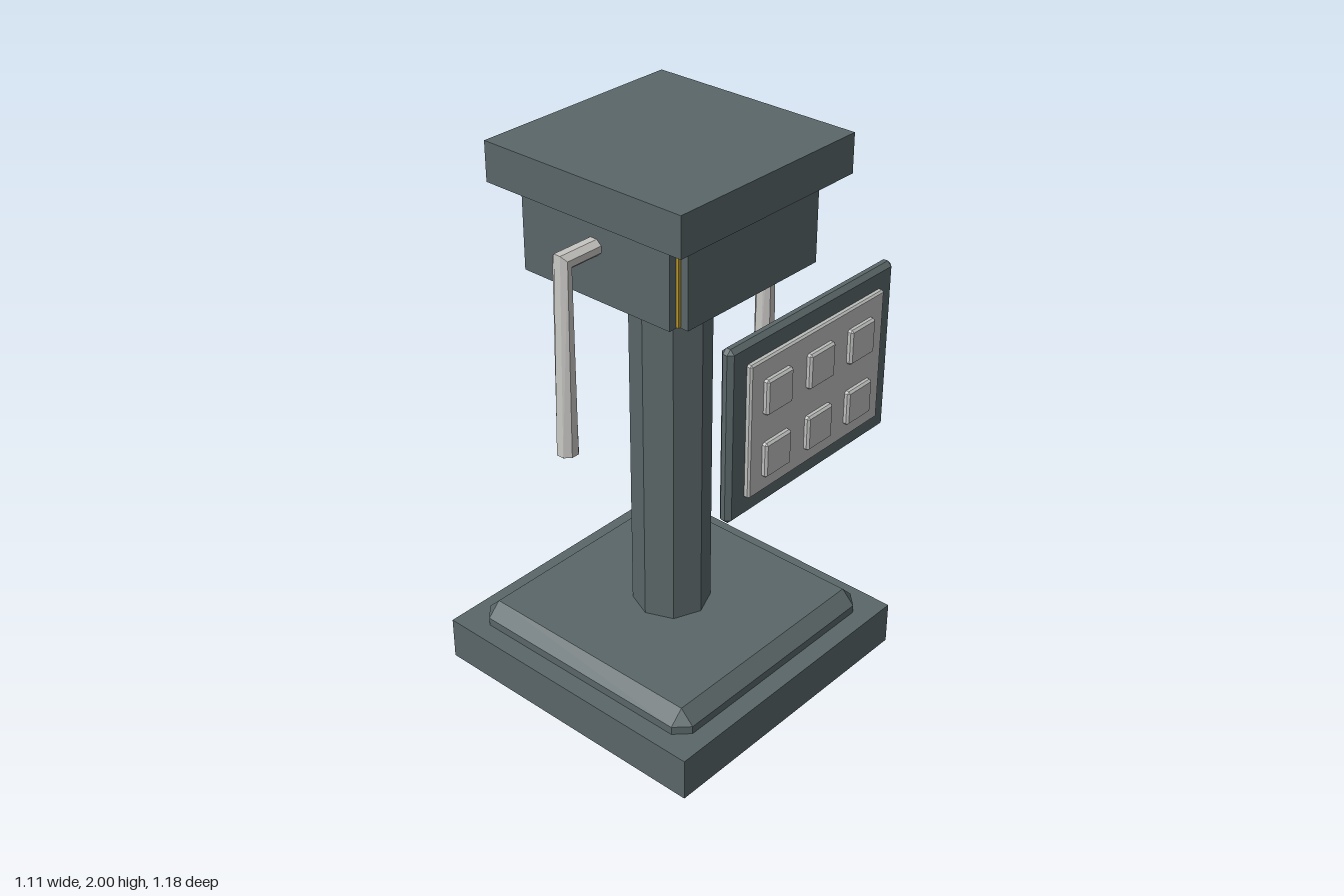
import * as THREE from 'three';
import { ConvexGeometry } from 'three/addons/geometries/ConvexGeometry.js';

const AXIS_Z = -0.036; // the pedestal's axis sits slightly behind the origin

function material(name, color) {
  const m = new THREE.MeshStandardMaterial({ color });
  m.name = name;
  return m;
}

// Non-indexed copy with one normal per face
function faceted(geometry) {
  const g = geometry.index ? geometry.toNonIndexed() : geometry;
  g.computeVertexNormals();
  return g;
}

// Box whose edges and corners are cut by a single chamfer
function chamferBox(w, h, d, b) {
  const points = [];
  for (const sx of [-1, 1]) for (const sy of [-1, 1]) for (const sz of [-1, 1]) {
    for (let axis = 0; axis < 3; axis++) {
      const inset = [b, b, b];
      inset[axis] = 0;
      points.push(new THREE.Vector3(
        sx * (w / 2 - inset[0]), sy * (h / 2 - inset[1]), sz * (d / 2 - inset[2])));
    }
  }
  return faceted(new ConvexGeometry(points));
}

// Mitred lever: a short arm going out along x, then a flared grip hanging down
function leverGeometry() {
  const sides = 8;
  const rings = [
    (s, c) => [0.33, 1.752 + 0.028 * s, 0.032 * c],
    (s, c) => [0.482 + 0.021 * s, 1.752 + 0.028 * s, 0.032 * c],
    (s, c) => [0.488 + 0.035 * s, 1.08, 0.034 * c],
  ];
  const positions = [], index = [];
  for (const ring of rings) {
    for (let i = 0; i < sides; i++) {
      const a = ((i + 0.5) / sides) * Math.PI * 2;
      const k = 1 / Math.cos(Math.PI / sides);
      positions.push(...ring(Math.sin(a) * k, Math.cos(a) * k));
    }
  }
  for (let r = 0; r < rings.length - 1; r++) {
    for (let i = 0; i < sides; i++) {
      const j = (i + 1) % sides;
      const a = r * sides + i, b = r * sides + j;
      index.push(a, a + sides, b, b, a + sides, b + sides);
    }
  }
  // end of the grip
  const e = (rings.length - 1) * sides;
  for (let i = 1; i < sides - 1; i++) index.push(e, e + i + 1, e + i);
  const g = new THREE.BufferGeometry();
  g.setAttribute('position', new THREE.Float32BufferAttribute(positions, 3));
  g.setIndex(index);
  return faceted(g);
}

export function createModel() {
  const model = new THREE.Group();
  model.name = 'controlPedestal';
  const slate = material('slate grey', 0x5a6668);
  const gold = material('dull gold', 0xb59530);
  const pale = material('pale grey', 0xbcbebc);
  const steel = material('lever steel', 0xc6c5c2);
  steel.side = THREE.DoubleSide;

  function add(parent, name, geometry, mat, x = 0, y = 0, z = 0) {
    const mesh = new THREE.Mesh(geometry, mat);
    mesh.name = name;
    mesh.position.set(x, y, z);
    parent.add(mesh);
    return mesh;
  }

  // Pedestal, built around its own vertical axis
  const pedestal = new THREE.Group();
  pedestal.name = 'pedestal';
  pedestal.position.z = AXIS_Z;
  model.add(pedestal);
  add(pedestal, 'base', new THREE.BoxGeometry(1.112, 0.16, 1.112), slate, 0, 0.08, 0);
  add(pedestal, 'basePlinth', chamferBox(0.972, 0.16, 0.972, 0.05), slate, 0, 0.16, 0);
  add(pedestal, 'column', faceted(new THREE.CylinderGeometry(0.139, 0.139, 1.36, 8)), slate, 0, 0.91, 0);

  // Head: gold core showing between four side panels
  add(pedestal, 'headCore', new THREE.BoxGeometry(0.636, 0.287, 0.636), gold, 0, 1.7165, 0);
  for (let i = 0; i < 4; i++) {
    const side = new THREE.Group();
    side.name = 'headSide';
    side.rotation.y = (i * Math.PI) / 2;
    pedestal.add(side);
    add(side, 'headPanel', new THREE.BoxGeometry(0.616, 0.292, 0.03), slate, 0, 1.716, 0.332);
  }
  add(pedestal, 'cap', new THREE.BoxGeometry(0.807, 0.138, 0.807), slate, 0, 1.931, 0);

  // Levers on both sides
  const lever = leverGeometry();
  add(pedestal, 'leftLever', lever, steel);
  add(pedestal, 'rightLever', lever, steel).rotation.y = Math.PI;

  // Floating button board in front
  const board = new THREE.Group();
  board.name = 'buttonBoard';
  model.add(board);
  add(board, 'boardBack', chamferBox(0.79, 0.605, 0.046, 0.015), slate, -0.002, 1.3225, 0.531);
  add(board, 'boardFace', chamferBox(0.648, 0.465, 0.026, 0.006), pale, 0, 1.3225, 0.559);
  for (const y of [1.425, 1.205]) {
    for (const x of [-0.204, 0, 0.202]) {
      add(board, 'button', chamferBox(0.122, 0.122, 0.026, 0.007), pale, x, y, 0.577);
    }
  }
  return model;
}
